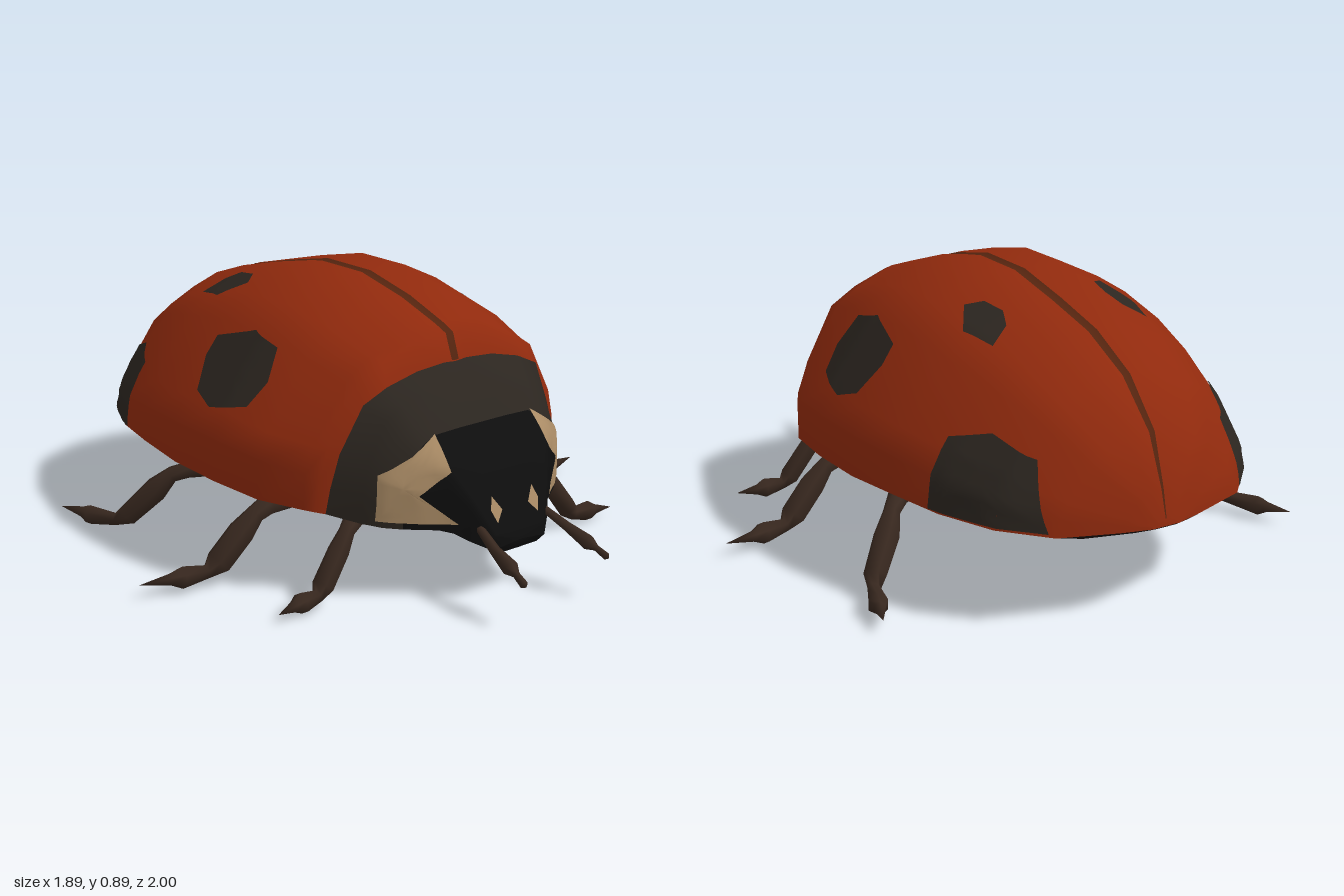
import * as THREE from 'three';
import { mergeVertices } from 'three/addons/utils/BufferGeometryUtils.js';

const paint = (color) => new THREE.MeshStandardMaterial({ color });
const RED = paint(0x912a0d), SEAM = paint(0x54240f), DARK = paint(0x2c2620);
const BLACK = paint(0x0e0e0e), CREAM = paint(0xab8c66), LEG = paint(0x38281f), BELLY = paint(0x1c1310);
for (const m of [DARK, CREAM]) m.side = THREE.DoubleSide;

// Body stations, back to front: z, half width, rim height, top height, belly height,
// section number (fractions blend), backward lean of the rim
const SHELL = [
  [-1, 0.05, 0.3, 0.3, 0.3, 0, 0],
  [-0.998, 0.055, 0.3, 0.32, 0.297, 0, 0],
  [-0.975, 0.14, 0.3, 0.41, 0.29, 0, 0],
  [-0.915, 0.335, 0.305, 0.57, 0.28, 0, 0],
  [-0.78, 0.465, 0.31, 0.71, 0.27, 0.1, 0],
  [-0.6, 0.548, 0.315, 0.8, 0.255, 0.4, 0],
  [-0.4, 0.597, 0.32, 0.85, 0.24, 0.8, 0],
  [-0.185, 0.622, 0.31, 0.895, 0.225, 1, 0],
  [0.04, 0.624, 0.305, 0.895, 0.222, 1, 0],
  [0.24, 0.6, 0.295, 0.85, 0.222, 1, 0],
  [0.4, 0.53, 0.285, 0.795, 0.225, 1.2, 0.02],
  [0.45, 0.505, 0.28, 0.773, 0.228, 1.5, 0.04],
  [0.48, 0.475, 0.27, 0.69, 0.23, 2, 0.06],
];
const COLLAR = [
  SHELL.at(-1),
  [0.53, 0.41, 0.25, 0.635, 0.23, 2.3, 0.02],
  [0.57, 0.373, 0.245, 0.58, 0.225, 2.6, 0],
  [0.61, 0.325, 0.24, 0.52, 0.22, 3, 0],
];
const HEAD = [
  COLLAR.at(-1),
  [0.64, 0.292, 0.24, 0.487, 0.215, 3.3, 0],
  [0.69, 0.217, 0.235, 0.43, 0.2, 4, 0],
  [0.74, 0.165, 0.2, 0.33, 0.17, 4, 0],
  [0.785, 0.11, 0.17, 0.22, 0.155, 4, 0],
  [0.793, 0, 0.185, 0.185, 0.185, 4, 0],
];

// Half sections from the rim to the middle, as fractions of width and height:
// tail, middle of the shell, collar, face, snout
const BODY = [
  [[1, 0], [0.96, 0.2], [0.87, 0.38], [0.64, 0.74], [0.48, 0.86], [0.27, 0.98], [0.06, 1], [0, 0.98]],
  [[1, 0], [1, 0.23], [0.93, 0.38], [0.67, 0.76], [0.49, 0.88], [0.27, 0.99], [0.06, 1], [0, 0.98]],
  [[1, 0], [0.98, 0.2], [0.93, 0.46], [0.77, 0.81], [0.58, 0.91], [0.33, 0.98], [0.1, 1], [0, 0.99]],
  [[1, 0], [1, 0.2], [1, 0.48], [0.87, 0.8], [0.74, 0.92], [0.6, 0.99], [0.3, 1], [0, 1]],
  [[1, 0], [1, 0.25], [1, 0.5], [0.99, 0.75], [0.97, 0.93], [0.9, 0.99], [0.45, 1], [0, 1]],
];
const SEAM_STRIP = [[[0.03, 0.99], [0, 0.98]], [[0.03, 0.99], [0, 0.98]], [[0.03, 0.993], [0, 0.99]]];
const UNDERSIDE = [[[-1, 0], [-0.7, 0.95], [0, 1]]];

// Skin over equal-length rows of points
function skin(rows) {
  const n = rows[0].length, index = [];
  for (let j = 0; j < rows.length - 1; j++) {
    for (let i = 0; i < n - 1; i++) {
      const a = j * n + i, c = a + n;
      index.push(a, a + 1, c, a + 1, c + 1, c);
    }
  }
  let g = new THREE.BufferGeometry().setFromPoints(rows.flat());
  g.setIndex(index);
  g = mergeVertices(g, 1e-5);
  g.computeVertexNormals();
  return g;
}

// Loft through stations, each with a blended section mirrored left to right
function loft(stations, sections, lift = 0) {
  return skin(stations.map(([z, w, base, top, , k, lean]) => {
    const from = sections[Math.floor(k)], to = sections[Math.ceil(k)], f = k % 1;
    const half = from.map(([u, v], i) => [u + (to[i][0] - u) * f, v + (to[i][1] - v) * f]);
    const whole = [...half, ...half.slice(0, -1).reverse().map(([u, v]) => [-u, v])];
    return whole.map(([u, v]) => new THREE.Vector3(u * w, base + (top - base) * v + lift, z - lean * (1 - v)));
  }));
}
const underside = (stations) => loft(stations.map(([z, w, rim, , low, , lean]) =>
  [z - lean, w, rim, low, low, 0, 0]), UNDERSIDE);

// Six-sided limb through points of x, y, z, radius
function limb(points, side) {
  const p = points.map(([x, y, z]) => new THREE.Vector3(x * side, y, z));
  const ref = new THREE.Vector3(0, 0, 1);
  return skin(p.map((c, j) => {
    const t = p[Math.min(j + 1, p.length - 1)].clone().sub(p[Math.max(j - 1, 0)]).normalize();
    const n = t.clone().cross(ref).normalize(), b = t.clone().cross(n);
    return Array.from({ length: 7 }, (_, i) => {
      const a = ((i % 6) / 6) * Math.PI * 2, r = points[j][3];
      return c.clone().addScaledVector(n, r * Math.cos(a)).addScaledVector(b, r * Math.sin(a));
    });
  }));
}

// Patch laid on a surface: a polygon of 3D points is cast along dir onto the target
function patch(target, corners, centre, dir) {
  const ray = new THREE.Raycaster();
  let last = centre;
  const drop = (p) => {
    ray.set(p.clone().addScaledVector(dir, -3), dir);
    const hit = ray.intersectObject(target)[0];
    if (hit) last = hit.point.clone().addScaledVector(hit.face.normal, 0.004).addScaledVector(dir, -0.002);
    return last.clone();
  };
  const outline = [];
  corners.forEach((c, i) => {
    for (let k = 0; k < 6; k++) outline.push(c.clone().lerp(corners[(i + 1) % corners.length], k / 6));
  });
  outline.push(outline[0].clone());
  const rings = [];
  for (let k = 0; k <= 6; k++) rings.push(outline.map((p) => drop(centre.clone().lerp(p, k / 6))));
  return skin(rings);
}

export function createModel() {
  const model = new THREE.Group();
  const add = (name, geometry, material) => {
    const mesh = new THREE.Mesh(geometry, material);
    mesh.name = name;
    model.add(mesh);
    return mesh;
  };

  // Body
  const shell = add('wingShell', loft(SHELL, BODY), RED);
  add('shellSeam', loft(SHELL.slice(1), SEAM_STRIP, 0.004), SEAM);
  add('collar', loft(COLLAR, BODY), DARK);
  const head = add('head', loft(HEAD, BODY), BLACK);
  add('belly', underside(SHELL), BELLY);
  add('collarUnderside', underside(COLLAR), DARK);
  add('chin', underside(HEAD), BLACK);

  // Whole front surface, used only to lay the face markings on
  const face = new THREE.Mesh(loft([...COLLAR, ...HEAD.slice(1)], BODY), DARK);

  // Markings: plane they are drawn in, corners, and a centre for the concave one
  const markings = [
    { name: 'sideSpot', on: shell, plane: 'zy', mat: DARK, pts: [[0, 0.755], [-0.165, 0.71], [-0.17, 0.65], [-0.125, 0.555], [-0.03, 0.525], [0.12, 0.555], [0.15, 0.63], [0.12, 0.725]] },
    { name: 'rearSpot', on: shell, plane: 'zy', mat: DARK, pts: [[-0.555, 0.535], [-0.67, 0.565], [-0.81, 0.515], [-0.9, 0.315], [-0.56, 0.322]] },
    { name: 'topSpot', on: shell, plane: 'xz', mat: DARK, pts: [[0.285, -0.485], [0.215, -0.45], [0.19, -0.39], [0.205, -0.305], [0.255, -0.265], [0.315, -0.36]] },
    { name: 'cheekPatch', on: face, plane: 'xy', mat: CREAM, mid: [0.325, 0.37], pts: [[0.2, 0.52], [0.375, 0.41], [0.385, 0.265], [0.19, 0.255], [0.29, 0.35], [0.205, 0.42]] },
    { name: 'eye', on: head, plane: 'xy', mat: CREAM, pts: [[0.085, 0.33], [0.1, 0.29], [0.085, 0.25], [0.055, 0.285]] },
  ];

  // Limbs: x, y, z, radius from root to tip
  const limbs = {
    frontLeg: [[0.25, 0.24, 0.4, 0.03], [0.38, 0.238, 0.44, 0.033], [0.42, 0.21, 0.455, 0.026], [0.46, 0.16, 0.465, 0.035], [0.53, 0.065, 0.475, 0.036], [0.555, 0.04, 0.48, 0.022], [0.62, 0.035, 0.483, 0.035], [0.65, 0.033, 0.487, 0.019], [0.72, 0.03, 0.5, 0]],
    middleLeg: [[0.34, 0.24, 0.165, 0.038], [0.5, 0.235, 0.16, 0.038], [0.55, 0.21, 0.155, 0.032], [0.6, 0.16, 0.148, 0.045], [0.68, 0.075, 0.135, 0.045], [0.715, 0.048, 0.125, 0.024], [0.8, 0.045, 0.11, 0.038], [0.84, 0.047, 0.1, 0.02], [0.945, 0.05, 0.085, 0]],
    rearLeg: [[0.36, 0.242, -0.18, 0.033], [0.5, 0.238, -0.26, 0.034], [0.55, 0.215, -0.31, 0.028], [0.59, 0.16, -0.35, 0.043], [0.665, 0.07, -0.41, 0.038], [0.69, 0.045, -0.45, 0.021], [0.73, 0.042, -0.55, 0.034], [0.74, 0.045, -0.58, 0.02], [0.775, 0.05, -0.665, 0]],
    antenna: [[0.13, 0.255, 0.72, 0.012], [0.155, 0.2, 0.84, 0.017], [0.165, 0.17, 0.92, 0.026], [0.17, 0.16, 0.95, 0.011], [0.176, 0.142, 0.99, 0.013], [0.178, 0.138, 1, 0]],
  };

  for (const [label, side] of [['left', 1], ['right', -1]]) {
    const place = {
      zy: ([z, y]) => new THREE.Vector3(side, y, z),
      xz: ([x, z]) => new THREE.Vector3(x * side, 1, z),
      xy: ([x, y]) => new THREE.Vector3(x * side, y, 1),
    };
    const aim = {
      zy: new THREE.Vector3(-side, 0, 0),
      xz: new THREE.Vector3(0, -1, 0),
      xy: new THREE.Vector3(0, 0, -1),
    };
    for (const { name, on, plane, mat, pts, mid } of markings) {
      const corners = pts.map(place[plane]);
      const centre = mid ? place[plane](mid)
        : corners.reduce((s, c) => s.add(c), new THREE.Vector3()).divideScalar(corners.length);
      add(`${label} ${name}`, patch(on, corners, centre, aim[plane]), mat);
    }
    for (const [name, path] of Object.entries(limbs)) add(`${label} ${name}`, limb(path, side), LEG);
  }
  return model;
}
